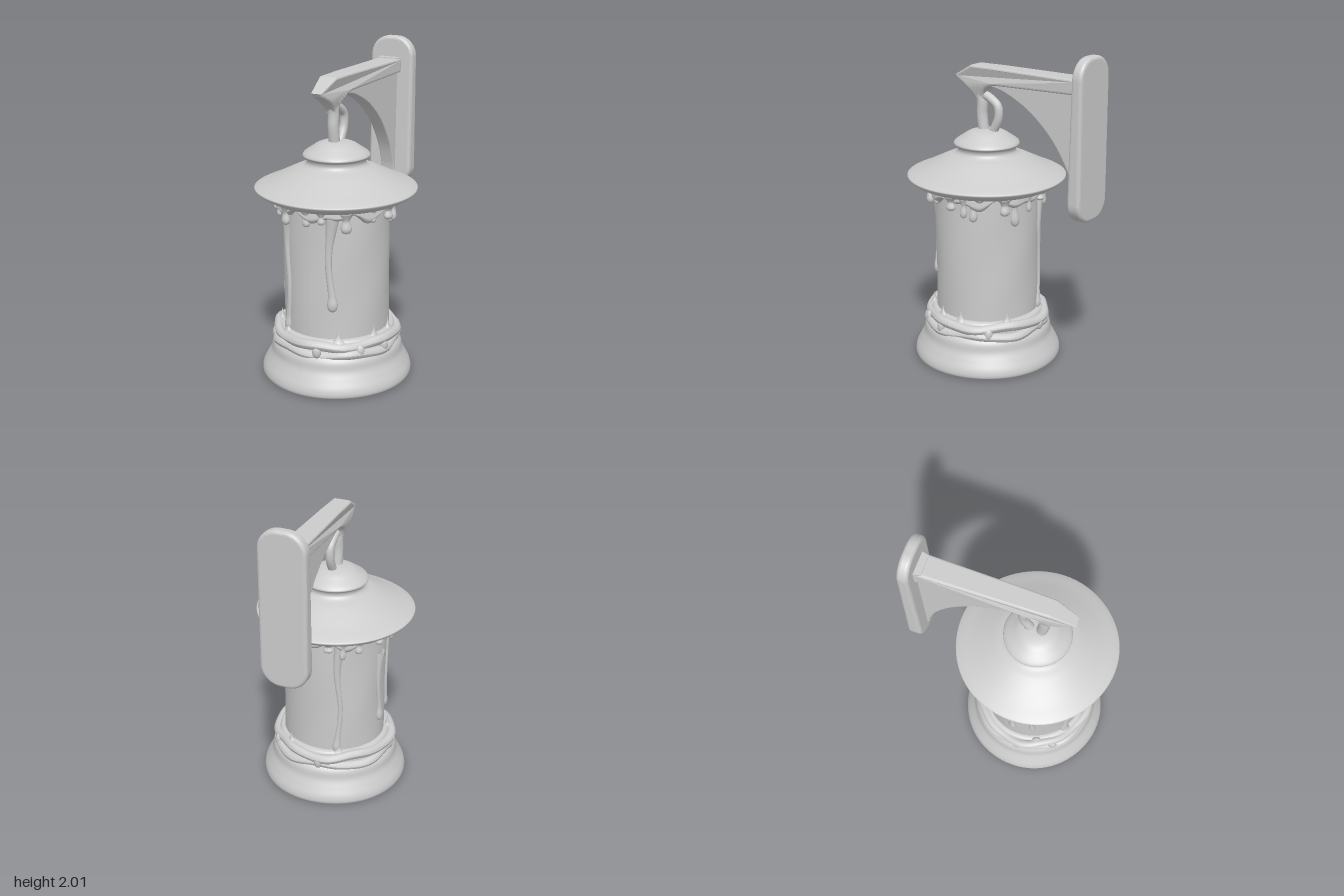
import * as THREE from 'three';

const CZ = 0.145; // z of the lantern's axis
const mat = new THREE.MeshStandardMaterial({ color: 0xcccccc, side: THREE.DoubleSide });

function add(parent, name, geo) {
  const m = new THREE.Mesh(geo, mat);
  m.name = name;
  parent.add(m);
  return m;
}

// Moves every vertex by a rule, then refreshes the normals
function warp(geo, rule) {
  const p = geo.attributes.position, v = new THREE.Vector3();
  for (let i = 0; i < p.count; i++) {
    rule(v.fromBufferAttribute(p, i));
    p.setXYZ(i, v.x, v.y, v.z);
  }
  geo.computeVertexNormals();
  return geo;
}

// Lathe with a smoothed profile given as [radius, y]
function turned(points, steps = 60, seg = 72) {
  const c = new THREE.CatmullRomCurve3(points.map(([r, y]) => new THREE.Vector3(r, y, 0)), false, 'centripetal');
  return new THREE.LatheGeometry(c.getPoints(steps).map(p => new THREE.Vector2(Math.max(p.x, 0), p.y)), seg);
}

// Gentle hand-worked unevenness around the axis
function uneven(geo, amount) {
  return warp(geo, v => {
    const a = Math.atan2(v.x, v.z);
    const s = 1 + amount * (Math.sin(3 * a + 5 * v.y) + 0.7 * Math.sin(5 * a - 11 * v.y + 1));
    v.x *= s;
    v.z *= s;
  });
}

// Side outline in (z, y), extruded across x and centred
function sidePiece(shape, width, bevel) {
  const g = new THREE.ExtrudeGeometry(shape, {
    depth: width - 2 * bevel, bevelThickness: bevel, bevelSize: bevel, bevelOffset: -bevel, bevelSegments: 3, curveSegments: 20,
  });
  g.translate(0, 0, -(width - 2 * bevel) / 2);
  return g.rotateY(-Math.PI / 2);
}

function tube(points, radius) {
  const c = new THREE.CatmullRomCurve3(points.map(([z, y, x = 0]) => new THREE.Vector3(x, y, z)));
  return new THREE.TubeGeometry(c, 28, radius, 12);
}

// Hanging drip: thin stem, round bead at the lower end
function drip(a, top, bottom, w, r = 0.325) {
  const h = top - bottom, bead = Math.min(0.09, h * 0.5);
  const g = turned([[0, 0], [w * 0.7, bead * 0.15], [w, bead * 0.5], [w * 0.7, bead * 1.2], [w * 0.75, h * 0.7], [w * 1.4, h]], 24, 14);
  warp(g, v => {
    v.x += 0.012 * Math.sin(v.y * 11 + a * 3) * Math.min(1, h * 2);
    v.z *= 0.8;
  });
  return g.translate(0, bottom, r).rotateY(a);
}

export function createModel() {
  const model = new THREE.Group();
  const bracket = new THREE.Group();
  bracket.name = 'wallBracket';
  const lantern = new THREE.Group();
  lantern.name = 'lantern';
  lantern.position.z = CZ;
  model.add(bracket, lantern);

  // Wall plate with rounded ends
  const W = 0.148, R = 0.125, y0 = 1.03, y1 = 2;
  const plate = new THREE.Shape();
  plate.moveTo(-W + R, y0);
  plate.lineTo(W - R, y0);
  plate.absarc(W - R, y0 + R, R, -Math.PI / 2, 0);
  plate.absarc(W - R, y1 - R, R, 0, Math.PI / 2);
  plate.absarc(-W + R, y1 - R, R, Math.PI / 2, Math.PI);
  plate.absarc(-W + R, y0 + R, R, Math.PI, Math.PI * 1.5);
  const plateGeo = new THREE.ExtrudeGeometry(plate, {
    depth: 0.034, bevelThickness: 0.022, bevelSize: 0.022, bevelOffset: -0.022, bevelSegments: 4, curveSegments: 12,
  });
  plateGeo.translate(-0.004, 0, -0.613);
  // The lower end is a little thicker
  warp(plateGeo, v => { if (v.z > -0.6) v.z += 0.012 * (1.6 - v.y) / 0.5; });
  add(bracket, 'wallPlate', plateGeo);

  // Horizontal beam, tapering to a pointed nose
  const beam = new THREE.Shape();
  beam.moveTo(-0.57, 1.865);
  beam.lineTo(0.05, 1.865);
  beam.lineTo(0.23, 1.862);
  beam.lineTo(0.37, 1.785);
  beam.lineTo(0.355, 1.765);
  beam.quadraticCurveTo(0.22, 1.7, 0.2, 1.64);
  beam.lineTo(0.155, 1.65);
  beam.quadraticCurveTo(0.15, 1.74, 0.05, 1.755);
  beam.lineTo(-0.57, 1.775);
  beam.closePath();
  add(bracket, 'beam', warp(sidePiece(beam, 0.14, 0.014), v => {
    const nose = THREE.MathUtils.smoothstep(v.z, 0.2, 0.37);
    const drop = THREE.MathUtils.smoothstep(1.77 - v.y, 0, 0.12) * (v.z > 0 ? 1 : 0);
    v.x *= (0.93 - 0.25 * (v.z + 0.1)) * (1 - 0.4 * nose) * (1 - 0.45 * drop);
    v.x -= 0.006;
  }));

  // Arched web under the beam and the rim along its curve
  const arch = [[0.1, 1.745], [-0.02, 1.72], [-0.2, 1.63], [-0.36, 1.49], [-0.47, 1.33], [-0.52, 1.2], [-0.535, 1.12]];
  const web = new THREE.Shape();
  web.moveTo(-0.57, 1.8);
  web.lineTo(0.1, 1.8);
  web.lineTo(...arch[0]);
  web.splineThru(arch.slice(1).map(p => new THREE.Vector2(...p)));
  web.lineTo(-0.57, 1.1);
  web.closePath();
  add(bracket, 'archedWeb', sidePiece(web, 0.092, 0.008)).position.x = -0.006;
  const fillet = new THREE.BoxGeometry(0.15, 0.1, 0.05);
  add(bracket, 'beamRoot', warp(fillet, v => { if (v.z > 0) v.x *= 0.85; })).position.set(-0.008, 1.82, -0.545);

  // Hook and hanging loop
  add(bracket, 'hook', tube([[0.2, 1.74], [0.178, 1.65], [0.18, 1.56], [0.165, 1.44]], 0.034));
  add(bracket, 'hangingLoop', tube([[0.18, 1.69], [0.11, 1.66], [0.06, 1.62], [0.055, 1.55], [0.085, 1.48], [0.11, 1.44]], 0.027));

  // Stepped foot
  add(lantern, 'base', uneven(turned([[0, 0], [0.25, 0], [0.455, 0], [0.465, 0.015], [0.46, 0.05], [0.435, 0.1],
    [0.41, 0.15], [0.4, 0.2], [0.385, 0.225], [0.36, 0.25], [0.36, 0.3], [0.345, 0.325], [0.3, 0.33]]), 0.003));

  // Two uneven wax rings on the foot
  [[0.292, 0.363, 1], [0.238, 0.366, 4]].forEach(([y, r, k]) => {
    const ring = new THREE.TorusGeometry(r, 0.03, 12, 90).rotateX(Math.PI / 2);
    add(lantern, 'waxRing', warp(ring, v => {
      const a = Math.atan2(v.x, v.z);
      const s = 1 + 0.02 * Math.sin(4 * a + k) + 0.012 * Math.sin(9 * a + 2 * k);
      v.set(v.x * s, y + v.y + 0.009 * Math.sin(5 * a + k), v.z * s);
    }));
  });

  // Small wax peaks rising from the upper ring, and knots joining the rings
  [0.55, 1.25, 1.72, -1.2, -0.56, -2.68, 2.6].forEach((a, i) => {
    const peak = turned([[0.06, 0], [0.03, 0.025], [0.012, 0.05], [0, 0.085]], 12, 10);
    add(lantern, 'waxPeak', peak.scale(1, 1, 0.6).translate(0, 0.3, i % 3 ? 0.335 : 0.345).rotateY(a));
    const knot = new THREE.SphereGeometry(0.035, 12, 10).scale(0.8, 1.2, 0.7);
    add(lantern, 'waxKnot', knot.translate(0, 0.262, 0.378).rotateY(a - 0.35));
  });

  // Round body
  const wall = new THREE.CylinderGeometry(0.323, 0.323, 0.86, 72, 30, true).translate(0, 0.74, 0);
  add(lantern, 'body', uneven(wall, 0.006));

  // Broad roof with collar and domed cap
  add(lantern, 'roof', uneven(turned([[0.3, 1.1], [0.34, 1.115], [0.4, 1.128], [0.45, 1.15], [0.486, 1.175], [0.492, 1.188],
    [0.475, 1.2], [0.4, 1.233], [0.32, 1.272], [0.25, 1.305], [0.195, 1.325], [0.18, 1.345], [0.185, 1.368],
    [0.203, 1.382], [0.198, 1.395], [0.15, 1.43], [0.11, 1.455], [0.06, 1.468], [0, 1.472]], 90), 0.005));

  // Wavy wax skirt under the roof
  const skirt = turned([[0.31, 0.02], [0.335, 0], [0.362, 0.2], [0.365, 0.6], [0.36, 1]], 24, 120);
  add(lantern, 'waxSkirt', warp(skirt, v => {
    const a = Math.atan2(v.x, v.z);
    const low = 1.075 - 0.02 * Math.sin(7 * a) - 0.016 * Math.sin(12 * a + 1);
    v.y = low + (1.135 - low) * v.y;
    const s = 1 + 0.02 * Math.sin(9 * a + 2);
    v.x *= s;
    v.z *= s;
  }));

  // Short drips and beads around the skirt
  for (let i = 0; i < 17; i++) {
    const a = (i + 0.3 * Math.sin(i * 5)) / 17 * Math.PI * 2;
    const end = 1.025 + 0.03 * Math.sin(i * 2.3);
    add(lantern, 'shortDrip', drip(a, 1.12, end, 0.026 + 0.008 * Math.sin(i * 3.7), 0.352));
  }

  // Long drips running down the body: angle, top, bottom, width
  [[-0.56, 1.1, 0.31, 0.03], [0.41, 1.1, 0.5, 0.032], [-1.74, 0.96, 0.45, 0.026], [-1.3, 1.1, 0.48, 0.02],
    [-2.68, 1.1, 0.31, 0.026], [2.77, 1.12, 0.93, 0.03], [1.98, 1.1, 0.97, 0.026]]
    .forEach(d => add(lantern, 'longDrip', drip(...d)));

  return model;
}
